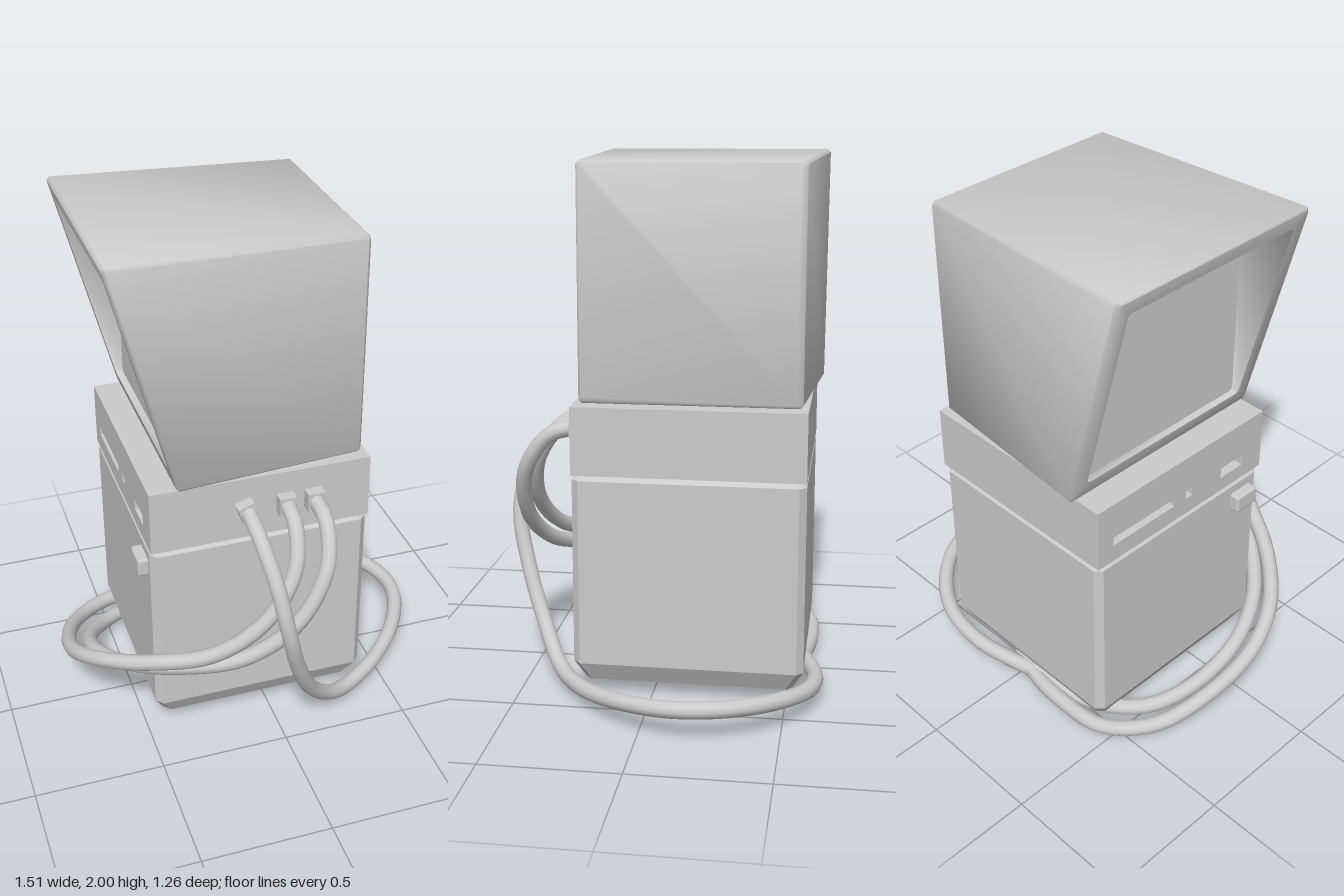
import * as THREE from 'three';
import { toCreasedNormals } from 'three/addons/utils/BufferGeometryUtils.js';
import { RoundedBoxGeometry } from 'three/addons/geometries/RoundedBoxGeometry.js';

const grey = new THREE.MeshStandardMaterial({ color: 0xcccccc });
const flatGrey = new THREE.MeshStandardMaterial({ color: 0xcccccc, flatShading: true });

// Rectangle with cut corners, counter-clockwise, as [p, q] pairs
function cutRect(p0, p1, q0, q1, c) {
  return [[p0 + c, q0], [p1 - c, q0], [p1, q0 + c], [p1, q1 - c],
    [p1 - c, q1], [p0 + c, q1], [p0, q1 - c], [p0, q0 + c]];
}

// Capped skin over a series of rings of points
function loft(rings) {
  const n = rings[0].length, last = (rings.length - 1) * n, index = [];
  for (let r = 0; r < rings.length - 1; r++) {
    for (let i = 0; i < n; i++) {
      const a = r * n + i, b = r * n + (i + 1) % n;
      index.push(a, b, b + n, a, b + n, a + n);
    }
  }
  for (let i = 1; i < n - 1; i++) {
    index.push(0, i + 1, i, last, last + i, last + i + 1);
  }
  const g = new THREE.BufferGeometry();
  g.setAttribute('position', new THREE.Float32BufferAttribute(rings.flat(2), 3));
  g.setIndex(index);
  g.computeVertexNormals();
  return g;
}

export function createModel() {
  const model = new THREE.Group();
  const add = (name, geometry, material = grey, x = 0, y = 0, z = 0) => {
    const mesh = new THREE.Mesh(geometry, material);
    mesh.name = name;
    mesh.position.set(x, y, z);
    model.add(mesh);
    return mesh;
  };

  // Lower cabinet: bevelled block, narrower at the foot
  const bodyRing = (y, inset) =>
    cutRect(-0.465 + inset, 0.39 - inset, -0.295 + inset, 0.565 - inset, 0.026)
      .map(([x, q]) => [x, y, -q]);
  add('lowerCabinet', loft([
    bodyRing(0.05, 0.04), bodyRing(0.125, 0), bodyRing(0.83, 0), bodyRing(0.85, 0.02),
  ]), flatGrey);

  // Control unit: solid block with a slotted face plate on the screen side
  add('controlUnit', new THREE.BoxGeometry(0.815, 0.255, 0.86), grey, -0.0175, 0.9775, -0.135);
  const rect = (T, z0, z1, y0, y1) => new T([[z0, y0], [z1, y0], [z1, y1], [z0, y1]]
    .map(([z, y]) => new THREE.Vector2(z, y)));
  const plate = rect(THREE.Shape, -0.565, 0.295, 0.85, 1.105);
  plate.holes.push(
    rect(THREE.Path, -0.49, -0.18, 0.92, 0.955),
    rect(THREE.Path, -0.12, -0.085, 0.92, 0.955),
    rect(THREE.Path, 0.07, 0.19, 0.91, 0.955),
  );
  const plateGeometry = new THREE.ExtrudeGeometry(plate, { depth: 0.04, bevelEnabled: false });
  plateGeometry.rotateY(-Math.PI / 2);
  add('slottedFacePlate', plateGeometry, grey, -0.425);

  // Power button under the face plate
  add('powerButton', new RoundedBoxGeometry(0.06, 0.075, 0.11, 2, 0.012), grey, -0.475, 0.757, 0.19);

  // Monitor: tapers towards the back, with a slanted front; t = 0 front, 1 back
  const mix = THREE.MathUtils.lerp;
  const monitorRing = (t, inset, panelX) => cutRect(
    mix(-0.595, -0.545, t) + inset, mix(0.312, 0.267, t) - inset,
    mix(1.105, 1.115, t) + inset, mix(2.0, 1.98, t) - inset, 0.012,
  ).map(([z, y]) => [
    panelX ?? mix(mix(-0.36, -0.592, (y - 1.105) / 0.895), 0.363, t), y, z,
  ]);
  add('monitor', toCreasedNormals(loft([
    monitorRing(1, 0.01), monitorRing(0.988, 0),
    monitorRing(0.012, 0), monitorRing(0, 0.01),
    monitorRing(0, 0.065), monitorRing(0, 0.067, -0.35),
  ]), 0.95));

  // Cable plugs on the front of the control unit
  [[-0.1, 0.35], [0.052, 0], [0.162, 0]].forEach(([x, turn], i) => {
    const plug = add('cablePlug' + (i + 1), new THREE.BoxGeometry(0.066, 0.075, 0.06), grey, x, 0.978, 0.31);
    plug.rotation.z = turn;
  });

  // Cables: one sweeps round the left, two round the right, all meeting behind
  const cables = {
    leftCable: [
      [-0.1, 0.98, 0.32], [-0.095, 0.95, 0.41], [-0.065, 0.8, 0.54], [-0.03, 0.6, 0.59],
      [0.03, 0.38, 0.545], [0.13, 0.18, 0.46], [0.27, 0.065, 0.37], [0.47, 0.06, 0.24],
      [0.64, 0.09, 0.06], [0.72, 0.11, -0.14], [0.68, 0.11, -0.34], [0.55, 0.095, -0.5],
      [0.4, 0.075, -0.585], [0.22, 0.055, -0.605], [0.05, 0.04, -0.57], [-0.12, 0.032, -0.52],
    ],
    outerRightCable: [
      [0.052, 0.98, 0.32], [0.052, 0.95, 0.41], [0.025, 0.82, 0.5], [-0.09, 0.63, 0.525],
      [-0.28, 0.47, 0.47], [-0.5, 0.39, 0.345], [-0.66, 0.32, 0.18], [-0.725, 0.24, 0.0],
      [-0.705, 0.15, -0.22], [-0.62, 0.07, -0.42], [-0.46, 0.035, -0.55],
      [-0.27, 0.032, -0.57], [-0.08, 0.032, -0.55], [0.06, 0.04, -0.5],
    ],
    innerRightCable: [
      [0.162, 0.98, 0.32], [0.168, 0.95, 0.42], [0.14, 0.81, 0.52], [0.02, 0.6, 0.545],
      [-0.17, 0.44, 0.49], [-0.39, 0.36, 0.37], [-0.56, 0.29, 0.2], [-0.64, 0.22, 0.0],
      [-0.62, 0.13, -0.2], [-0.53, 0.06, -0.36], [-0.38, 0.032, -0.47],
      [-0.2, 0.032, -0.52], [-0.02, 0.038, -0.5],
    ],
  };
  for (const [name, points] of Object.entries(cables)) {
    const curve = new THREE.CatmullRomCurve3(points.map((p) => new THREE.Vector3(...p)));
    add(name, new THREE.TubeGeometry(curve, 64, 0.031, 10));
  }
  return model;
}
